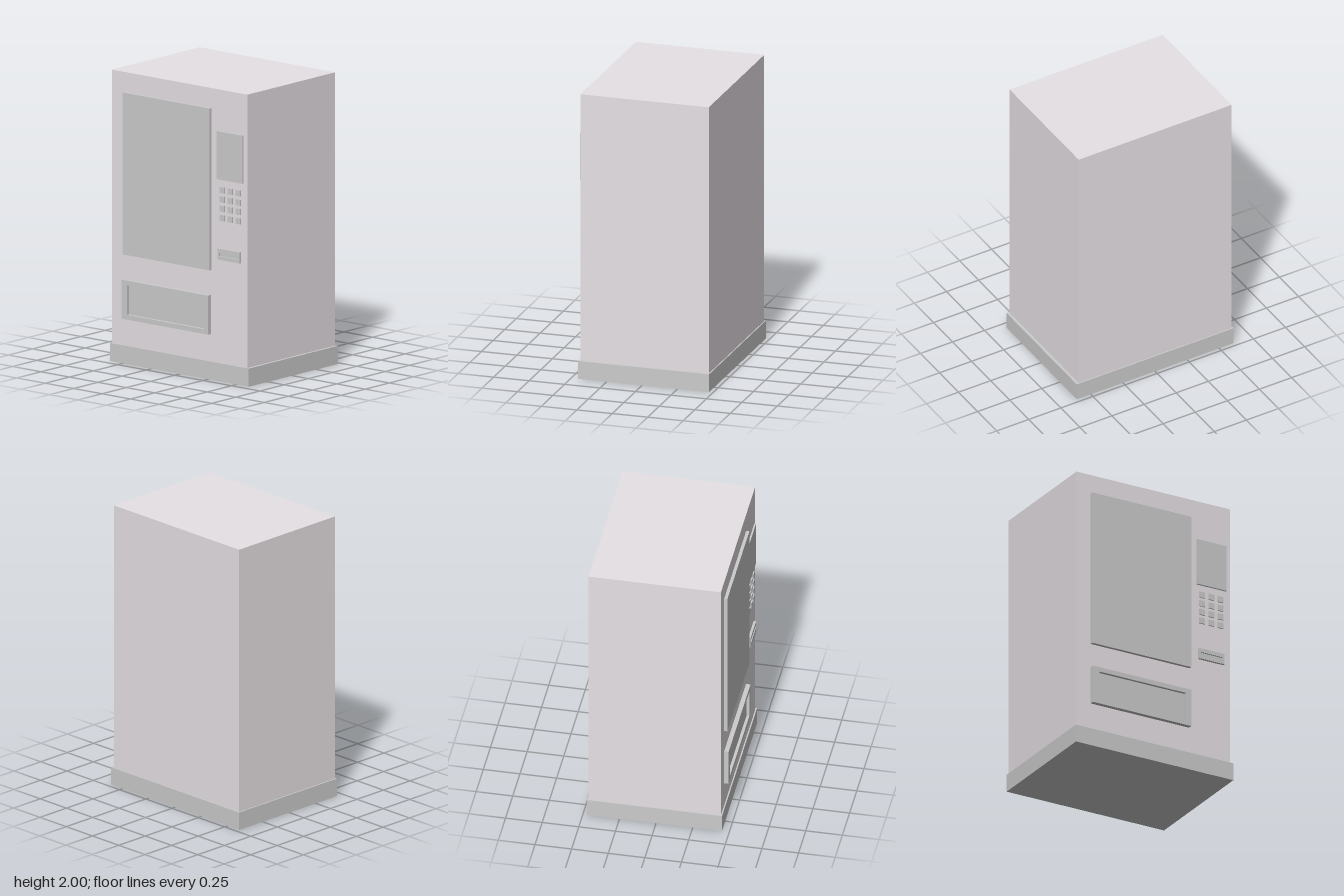
import * as THREE from 'three';

const shell = new THREE.MeshStandardMaterial({ color: 0xe7e1e5 });
const grey = new THREE.MeshStandardMaterial({ color: 0xcccccc });

const FACE = 0.441; // z of the cabinet's front
const SINK = 0.005; // how far front parts reach into the cabinet

// Box given by its limits on each axis
function block(name, [x0, x1], [y0, y1], [z0, z1], material = grey) {
  const mesh = new THREE.Mesh(new THREE.BoxGeometry(x1 - x0, y1 - y0, z1 - z0), material);
  mesh.position.set((x0 + x1) / 2, (y0 + y1) / 2, (z0 + z1) / 2);
  mesh.name = name;
  return mesh;
}

function rectangle(target, [x0, x1], [y0, y1]) {
  target.moveTo(x0, y0);
  target.lineTo(x1, y0);
  target.lineTo(x1, y1);
  target.lineTo(x0, y1);
  target.closePath();
  return target;
}

// Raised frame with a rectangular recess closed by a back panel
function recessedPanel(name, outerX, outerY, innerX, innerY, front, floor) {
  const group = new THREE.Group();
  group.name = name;
  const shape = rectangle(new THREE.Shape(), outerX, outerY);
  shape.holes.push(rectangle(new THREE.Path(), innerX, innerY));
  const back = FACE - SINK;
  const frame = new THREE.Mesh(
    new THREE.ExtrudeGeometry(shape, { depth: front - back, bevelEnabled: false }), grey);
  frame.position.z = back;
  frame.name = name + 'Frame';
  group.add(frame, block(name + 'Recess', innerX, innerY, [back, floor]));
  return group;
}

export function createModel() {
  const model = new THREE.Group();
  model.name = 'vendingMachine';

  // Cabinet on a slightly wider plinth
  model.add(
    block('cabinet', [-0.602, 0.59], [0.125, 2], [-0.464, FACE], shell),
    block('plinth', [-0.611, 0.609], [0, 0.125], [-0.472, 0.45]));

  // Display window and payment screen
  model.add(
    block('displayWindow', [-0.492, 0.275], [0.752, 1.863], [FACE - SINK, 0.463]),
    block('screen', [0.328, 0.556], [1.385, 1.715], [FACE - SINK, 0.453]));

  // Keypad, three columns by four rows
  const keypad = new THREE.Group();
  keypad.name = 'keypad';
  const half = 0.021;
  for (let row = 0; row < 4; row++) {
    for (let col = 0; col < 3; col++) {
      const x = 0.37 + col * 0.071;
      const y = 1.314 - row * 0.0637;
      keypad.add(block('key', [x - half, x + half], [y - half, y + half], [FACE - SINK, 0.449]));
    }
  }
  model.add(keypad);

  // Coin slot and delivery tray
  model.add(
    recessedPanel('coinSlot', [0.342, 0.535], [0.836, 0.912], [0.355, 0.525], [0.861, 0.884], 0.458, 0.447),
    recessedPanel('deliveryTray', [-0.492, 0.27], [0.312, 0.58], [-0.443, 0.228], [0.345, 0.547], 0.472, 0.452));

  return model;
}
